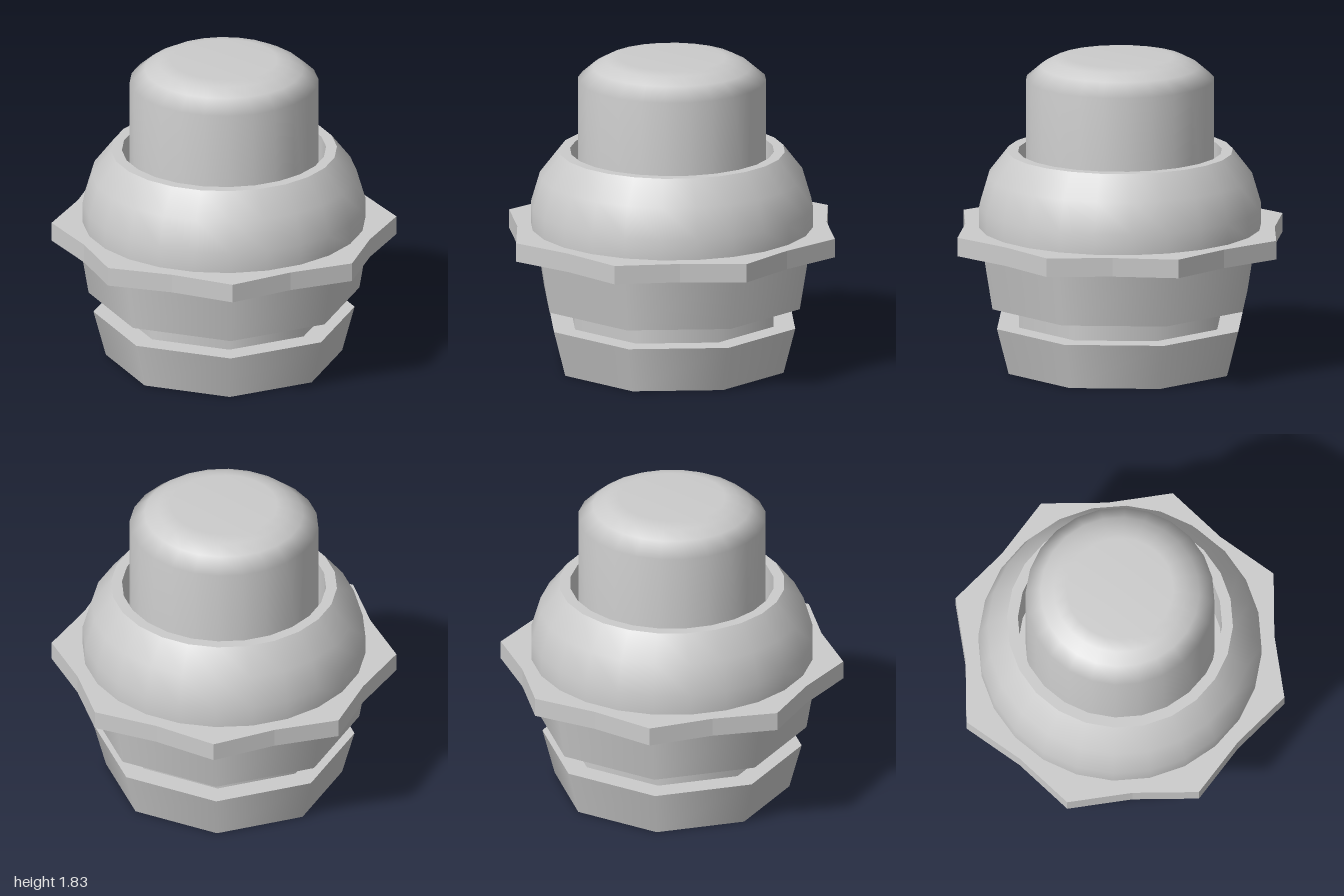
import * as THREE from 'three';
import { mergeGeometries } from 'three/addons/utils/BufferGeometryUtils.js';

const material = new THREE.MeshStandardMaterial({ color: 0xcccccc });

function addMesh(parent, name, geometry) {
  const mesh = new THREE.Mesh(geometry, material);
  mesh.name = name;
  parent.add(mesh);
  return mesh;
}

// Smooth surface of revolution from [radius, height] pairs
function lathe(points) {
  return new THREE.LatheGeometry(points.map(([r, y]) => new THREE.Vector2(r, y)), 24);
}

// Eight-sided tapered block: four softly bent panels with creased corners, and two lids
function octagonBlock(topRadius, bottomRadius, y0, y1) {
  const height = y1 - y0;
  const pieces = [];
  for (let i = 0; i < 4; i++) {
    const start = -Math.PI / 4 + (i * Math.PI) / 2;
    pieces.push(new THREE.CylinderGeometry(topRadius, bottomRadius, height, 2, 1, true, start, Math.PI / 2));
  }
  pieces.push(new THREE.CircleGeometry(topRadius, 8).rotateX(-Math.PI / 2).translate(0, height / 2, 0));
  pieces.push(new THREE.CircleGeometry(bottomRadius, 8).rotateX(Math.PI / 2).translate(0, -height / 2, 0));
  return mergeGeometries(pieces).translate(0, (y0 + y1) / 2, 0);
}

// Eight-pointed plate with shallow notches between the points
function starPlate(y0, y1) {
  const shape = new THREE.Shape();
  for (let i = 0; i < 16; i++) {
    const r = i % 2 ? 0.897 : 1;
    const a = (i * Math.PI) / 8;
    if (i === 0) shape.moveTo(r, 0);
    else shape.lineTo(r * Math.cos(a), r * Math.sin(a));
  }
  shape.closePath();
  const geometry = new THREE.ExtrudeGeometry(shape, { depth: y1 - y0, bevelEnabled: false });
  return geometry.rotateX(-Math.PI / 2).translate(0, y0, 0);
}

export function createModel() {
  const model = new THREE.Group();
  model.name = 'pushButton';

  // Faceted base with a groove
  addMesh(model, 'foot', octagonBlock(0.757, 0.685, 0, 0.27));
  addMesh(model, 'groove', octagonBlock(0.622, 0.622, 0.27, 0.39));
  addMesh(model, 'body', octagonBlock(0.84, 0.785, 0.39, 0.72));
  addMesh(model, 'flange', starPlate(0.72, 0.83));

  // Rounded collar with a flat rim and an open well
  const collar = new THREE.Group();
  collar.name = 'collar';
  model.add(collar);
  addMesh(collar, 'collarShell', lathe([[0.82, 0.83], [0.82, 0.95], [0.767, 1.13], [0.655, 1.275]]));
  addMesh(collar, 'collarRim', lathe([[0.655, 1.275], [0.592, 1.275]]));
  addMesh(collar, 'collarWell', lathe([[0.592, 1.275], [0.592, 0.83]]));

  // Plunger with a rounded top edge
  addMesh(model, 'plunger', lathe([
    [0.547, 0.83], [0.547, 1.7], [0.46, 1.775], [0.385, 1.815], [0.31, 1.83], [0, 1.83],
  ]));

  return model;
}
